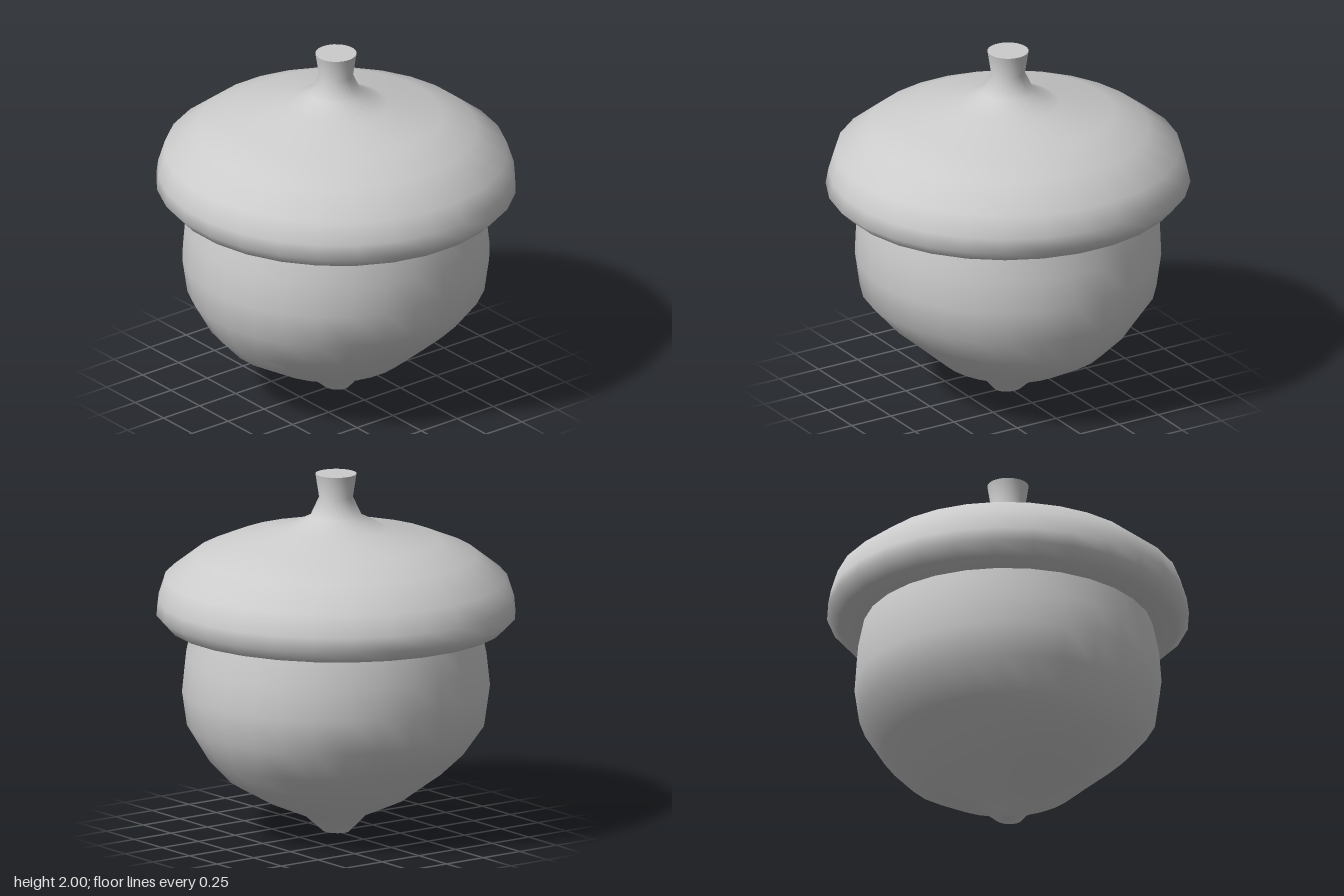
import * as THREE from 'three';
import { mergeVertices } from 'three/addons/utils/BufferGeometryUtils.js';

const SIDES = 28;
const HALF = Math.PI / SIDES;
const material = new THREE.MeshStandardMaterial({ color: 0xcccccc, side: THREE.DoubleSide });

// Smooth turned shape from rings [y, half width, half depth], listed bottom to top along the outside.
function turned(name, rings) {
  const points = rings.map(([y, rx]) => new THREE.Vector2(rx / Math.cos(HALF), y));
  const geometry = new THREE.LatheGeometry(points, SIDES, HALF);
  const pos = geometry.attributes.position;
  // Stretch each ring front to back to its own depth
  for (let i = 0; i < pos.count; i++) {
    const [, rx, rz] = rings[i % rings.length];
    if (rx > 0) pos.setZ(i, pos.getZ(i) * rz / rx);
  }
  // Weld the seam so the shading runs round without a break
  geometry.deleteAttribute('normal');
  geometry.deleteAttribute('uv');
  const welded = mergeVertices(geometry, 1e-4);
  welded.computeVertexNormals();
  const mesh = new THREE.Mesh(welded, material);
  mesh.name = name;
  return mesh;
}

export function createModel() {
  const acorn = new THREE.Group();
  acorn.name = 'acorn';

  // Nut: pointed base, full belly, narrowing into the cap
  acorn.add(turned('nut', [
    [0, 0, 0], [0.005, 0.07, 0.08], [0.1, 0.18, 0.16], [0.195, 0.4, 0.37],
    [0.32, 0.62, 0.51], [0.44, 0.73, 0.65], [0.61, 0.815, 0.8], [0.8, 0.843, 0.825],
    [0.98, 0.815, 0.825], [1.15, 0.78, 0.79], [1.2, 0.76, 0.77],
  ]));

  // Cap: underside, rounded rim, dome and flared stalk
  acorn.add(turned('cap', [
    [1.145, 0.72, 0.72], [1.142, 0.8, 0.81], [1.155, 0.91, 0.93], [1.22, 0.965, 0.997],
    [1.3, 0.965, 0.975], [1.42, 0.925, 0.94], [1.55, 0.76, 0.77], [1.63, 0.57, 0.58],
    [1.695, 0.28, 0.28], [1.765, 0.14, 0.14], [1.87, 0.092, 0.092], [2, 0.112, 0.112],
  ]));

  // Flat end of the stalk
  acorn.add(turned('stalkEnd', [[2, 0.112, 0.112], [2, 0, 0]]));

  return acorn;
}
